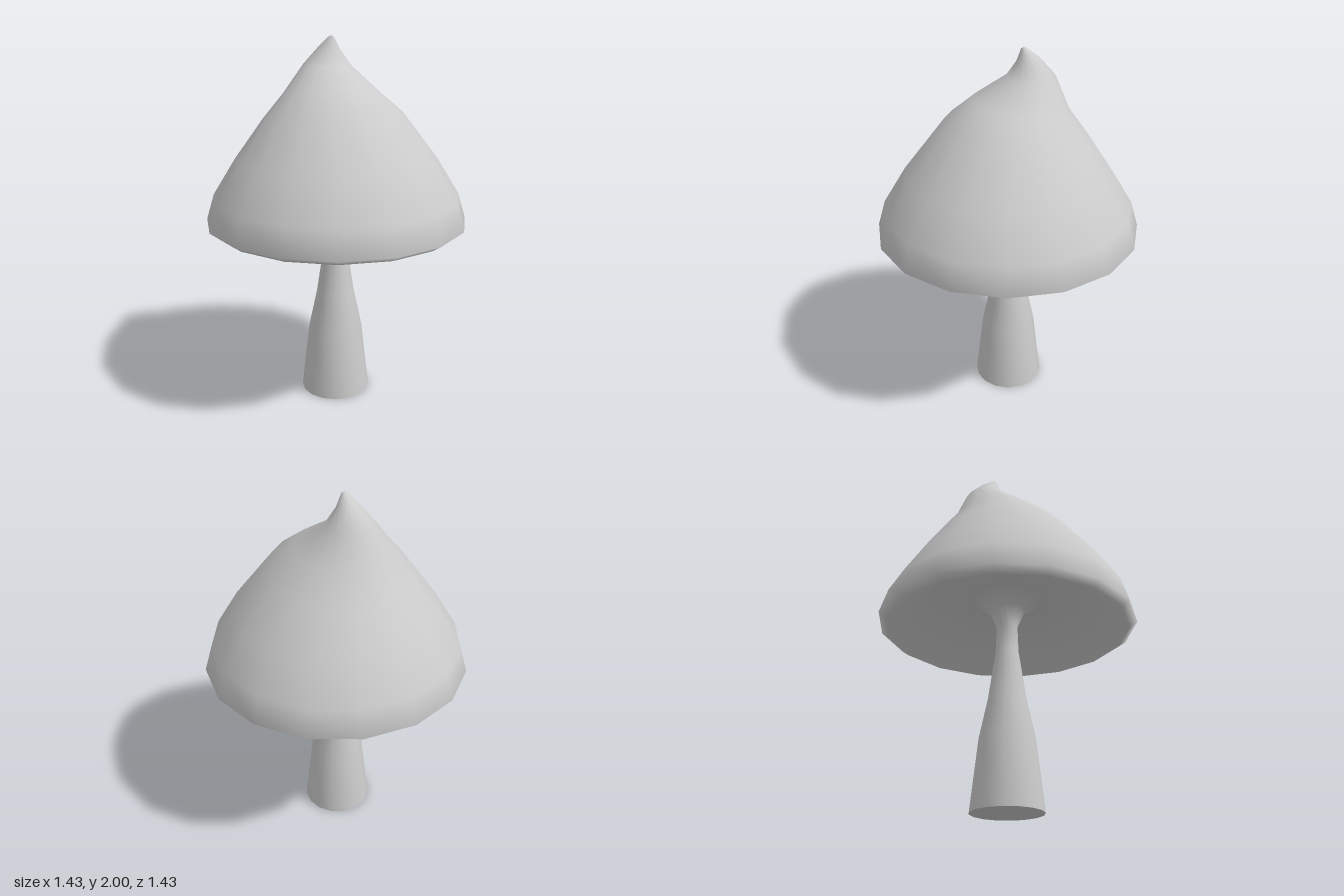
import * as THREE from 'three';
import { mergeVertices } from 'three/addons/utils/BufferGeometryUtils.js';

const SIDES = 16;

// Lathe whose rings [radius, y, centreX, centreZ, tilt] may each be shifted and tilted
function ringLathe(rings) {
  const profile = rings.map(([r, y]) => new THREE.Vector2(r, y));
  let geo = new THREE.LatheGeometry(profile, SIDES);
  const pos = geo.attributes.position;
  for (let i = 0; i < pos.count; i++) {
    const [, y, cx = 0, cz = 0, tilt = 0] = rings[i % rings.length];
    const x = pos.getX(i), z = pos.getZ(i);
    pos.setXYZ(i, x + cx, y + tilt * (x + z), z + cz);
  }
  // weld the seam so the shading stays smooth all round
  geo.deleteAttribute('uv');
  geo.deleteAttribute('normal');
  geo = mergeVertices(geo, 1e-4);
  geo.computeVertexNormals();
  return geo;
}

export function createModel() {
  const group = new THREE.Group();
  const material = new THREE.MeshStandardMaterial({ color: 0xcccccc, side: THREE.DoubleSide });
  const add = (name, geometry) => {
    const mesh = new THREE.Mesh(geometry, material);
    mesh.name = name;
    group.add(mesh);
    return mesh;
  };

  // Cap: bell shape with a crooked tip leaning back and to one side
  add('cap', ringLathe([
    [0.67, 0.99],
    [0.713, 1.02],
    [0.67, 1.16],
    [0.545, 1.36],
    [0.375, 1.585, -0.035, -0.035, 0.09],
    [0.25, 1.71, -0.055, -0.045, 0.08],
    [0.128, 1.845, -0.088, -0.085, -0.03],
    [0.06, 1.93, -0.075, -0.078, -0.1],
    [0.016, 1.99, -0.055, -0.064],
    [0, 2.0, -0.053, -0.063],
  ]));

  // Stem flaring into the hollow underside of the cap
  add('stemAndUnderside', ringLathe([
    [0.193, 0, -0.006],
    [0.19, 0.03, -0.006],
    [0.15, 0.38, -0.006],
    [0.105, 0.59, -0.006],
    [0.063, 0.87, -0.006],
    [0.058, 1.02, -0.006],
    [0.1, 1.12, -0.004],
    [0.2, 1.185],
    [0.42, 1.2],
    [0.67, 0.99],
  ]));

  // Flat base of the stem
  const base = add('stemBase', new THREE.CircleGeometry(0.193, SIDES));
  base.rotation.x = Math.PI / 2;
  base.position.x = -0.006;

  return group;
}
